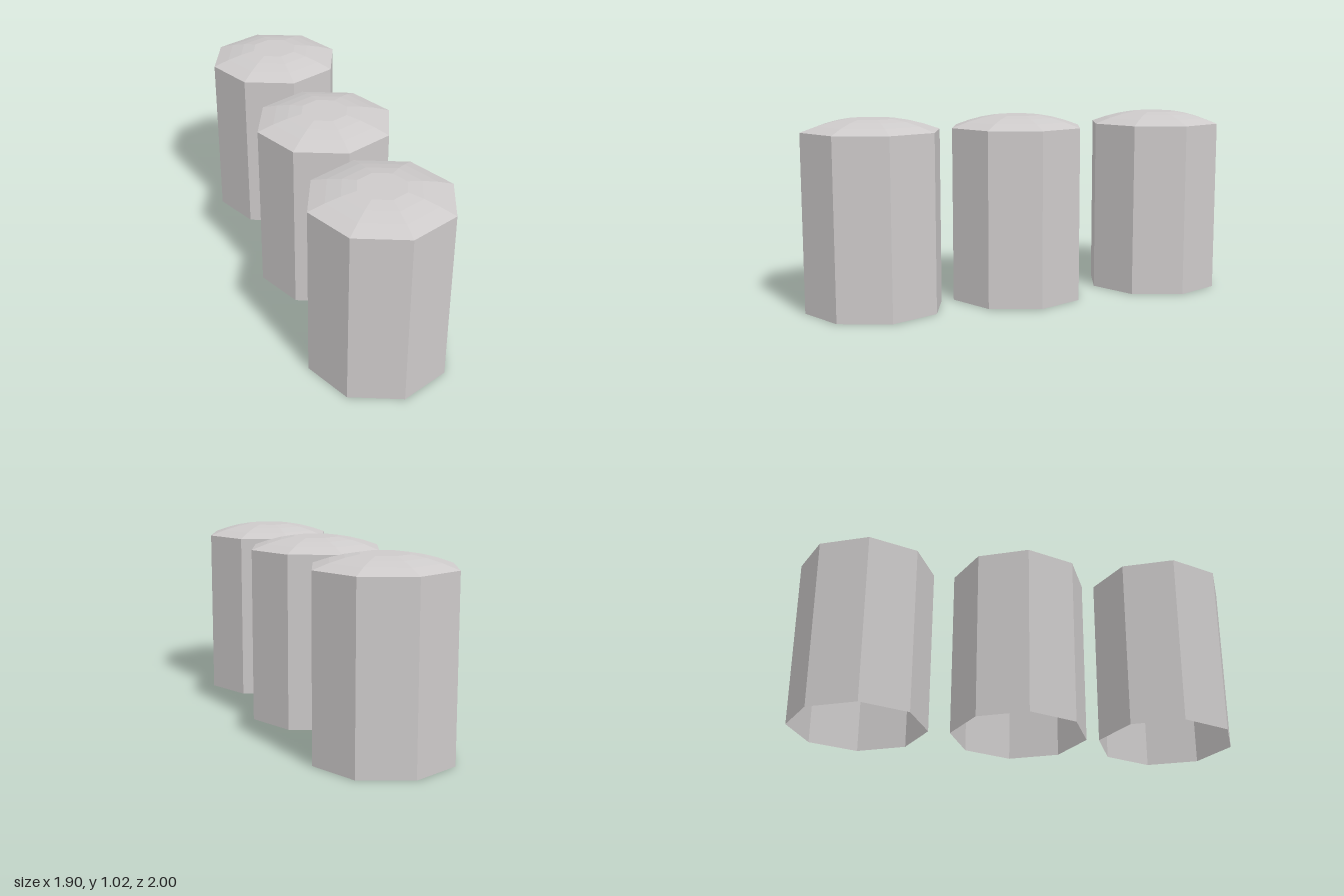
import * as THREE from 'three';

const SIDES = 8;
const RADIUS = 0.377;
const WALL_HEIGHT = 0.957;
const TURN = -0.044; // slight twist shared by every post

export function createModel() {
  const model = new THREE.Group();
  model.name = 'posts';

  const stone = new THREE.MeshStandardMaterial({
    color: 0xcdcaca, flatShading: true, side: THREE.DoubleSide,
  });
  stone.name = 'pale grey stone';

  // Eight-sided shell, open at the bottom
  const wallGeometry = new THREE.CylinderGeometry(RADIUS, RADIUS, WALL_HEIGHT, SIDES, 1, true);
  wallGeometry.translate(0, WALL_HEIGHT / 2, 0);

  // Shallow faceted dome with a flat centre
  const profile = [[RADIUS, WALL_HEIGHT], [0.29, 0.987], [0.21, 1.008], [0.13, 1.022], [0, 1.022]];
  const capGeometry = new THREE.LatheGeometry(
    profile.map(([r, y]) => new THREE.Vector2(r, y)), SIDES);

  // Three posts in a diagonal row
  const places = [
    ['backPost', -0.575, -0.624],
    ['middlePost', 0.021, 0.013],
    ['frontPost', 0.573, 0.623],
  ];
  for (const [name, x, z] of places) {
    const post = new THREE.Group();
    post.name = name;
    post.position.set(x, 0, z);
    post.rotation.y = TURN;

    const wall = new THREE.Mesh(wallGeometry, stone);
    wall.name = 'wall';
    const cap = new THREE.Mesh(capGeometry, stone);
    cap.name = 'domedCap';
    post.add(wall, cap);
    model.add(post);
  }
  return model;
}
